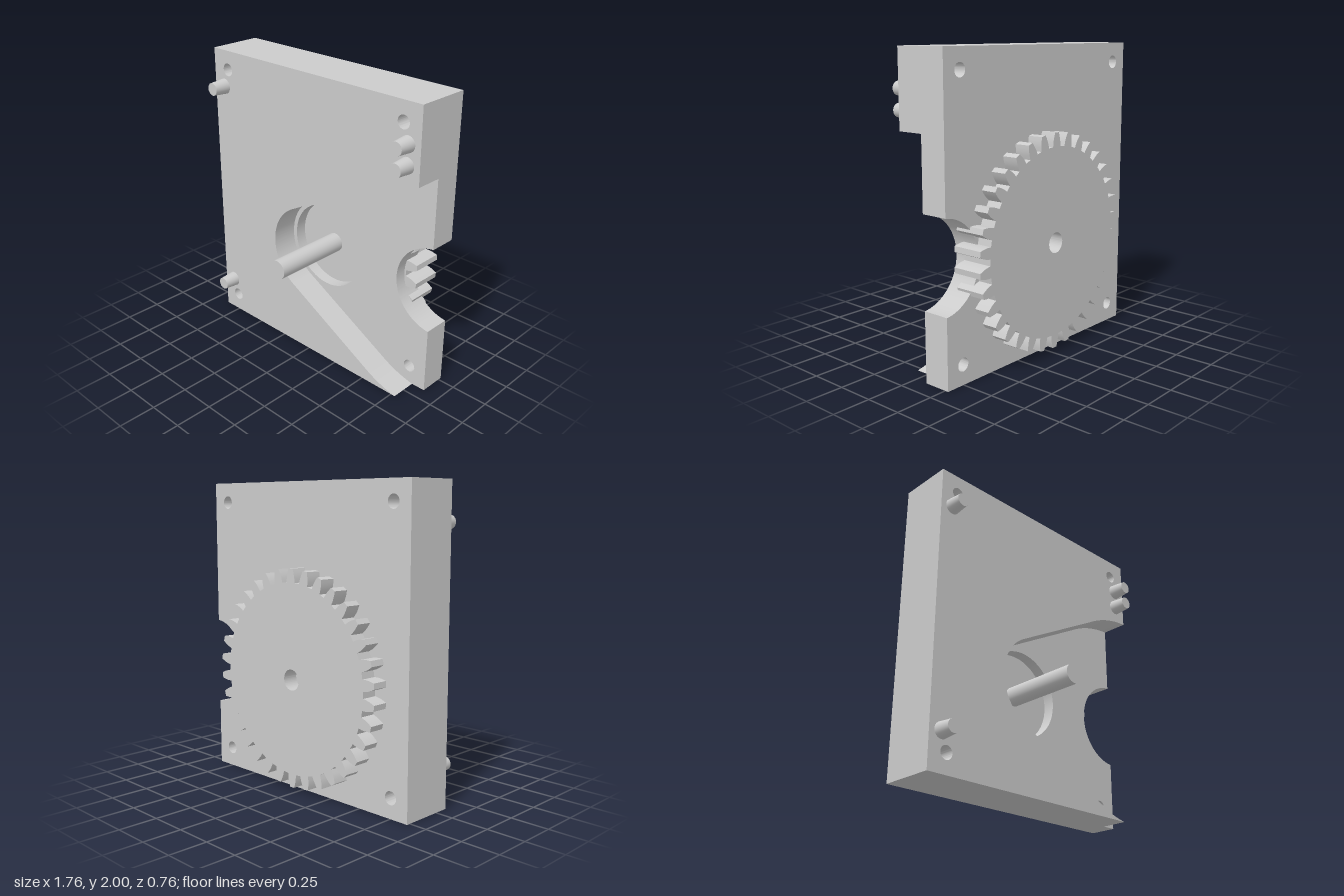
import * as THREE from 'three';
import { toCreasedNormals } from 'three/addons/utils/BufferGeometryUtils.js';

const material = new THREE.MeshStandardMaterial({ color: 0xcccccc });
const W = 0.88, H = 2, CY = 0.75;            // plate half width, height, axle height
const Z = { back: -0.38, plate: -0.275, gear: -0.17, floor: -0.09, face: 0.092, tip: 0.38 };
const SIDE = 0.905;                          // x of the centre of the notch and wide pocket end
const rad = THREE.MathUtils.degToRad;

export function createModel() {
  const group = new THREE.Group();

  const add = (name, geometry) => {
    const mesh = new THREE.Mesh(geometry, material);
    mesh.name = name;
    group.add(mesh);
    return mesh;
  };

  const slab = (name, shape, z0, z1) => {
    const geo = new THREE.ExtrudeGeometry(shape, { depth: z1 - z0, bevelEnabled: false, curveSegments: 48 });
    geo.translate(0, 0, z0);
    add(name, toCreasedNormals(geo, 0.4));
  };

  const hole = (shape, x, y, r) =>
    shape.holes.push(new THREE.Path().absarc(x, y, r, 0, Math.PI * 2, true));

  const screwHoles = (shape, spots) => spots.forEach(([x, y]) => hole(shape, x, y, 0.043));
  const corners = [[-0.75, 0.13], [0.75, 0.13], [-0.75, 1.87], [0.75, 1.87]];

  // Rear plate outline with the round notch in its left edge
  const notchedPlate = () => {
    const r = 0.295, a = Math.acos((W - SIDE) / r);
    const s = new THREE.Shape();
    s.moveTo(-W, 0);
    s.lineTo(W, 0);
    s.absarc(SIDE, CY, r, -a, a, true);
    s.lineTo(W, H);
    s.lineTo(-W, H);
    s.closePath();
    screwHoles(s, corners);
    return s;
  };
  slab('rearPlate', notchedPlate(), Z.plate, Z.gear);
  const middle = notchedPlate();
  hole(middle, 0, CY, 0.295);                // round recess about the shaft
  slab('middlePlate', middle, Z.gear, Z.floor);

  // Front plate, cut away by the flaring pocket
  const R = 0.76, r = 0.325;
  const tangent = Math.PI / 2 + Math.asin((R - r) / SIDE);
  const low = Math.PI + Math.asin(CY / R);   // where the pocket runs out of the bottom edge
  const front = new THREE.Shape();
  front.moveTo(-W, H);
  front.lineTo(-W, 0);
  front.absarc(SIDE, CY, R, low, 2 * Math.PI - tangent, true);
  front.absarc(0, CY, r, -tangent, tangent, true);
  front.absarc(SIDE, CY, R, tangent, Math.acos((W - SIDE) / R), true);
  front.lineTo(W, H);
  front.closePath();
  screwHoles(front, corners.filter(([x, y]) => x < 0 || y > 1));
  slab('frontPlate', front, Z.floor, Z.face);

  // Spur gear half sunk into the back
  const TEETH = 34;
  const flank = [[0.622, 3.4], [0.65, 3.05], [0.67, 2.65], [0.69, 2.1], [0.71, 1.45]];
  const profile = [
    ...flank.map(([q, a]) => [q, -a]),
    ...flank.slice().reverse(),
  ];
  const points = [];
  for (let i = 0; i < TEETH; i++) {
    const mid = (i + 0.5) * 2 * Math.PI / TEETH;
    for (const [q, a] of profile) {
      const t = mid + rad(a);
      points.push(new THREE.Vector2(q * Math.cos(t), CY + q * Math.sin(t)));
    }
  }
  const gear = new THREE.Shape(points);
  hole(gear, 0, CY, 0.068);
  slab('gear', gear, Z.back, Z.gear);

  // Round parts pointing forward
  const pin = (name, x, y, z0, z1, rBase, rTip) => {
    const geo = new THREE.CylinderGeometry(rTip, rBase, z1 - z0, 40);
    geo.rotateX(Math.PI / 2);
    add(name, geo).position.set(x, y, (z0 + z1) / 2);
  };
  pin('shaft', 0, CY, Z.gear - 0.1, Z.tip, 0.065, 0.065);
  for (const [x, y] of [[-0.79, 1.75], [0.787, 1.75], [0.787, 1.62], [-0.79, 0.25]])
    pin('peg', x, y, Z.face, 0.2, 0.052, 0.043);

  return group;
}
